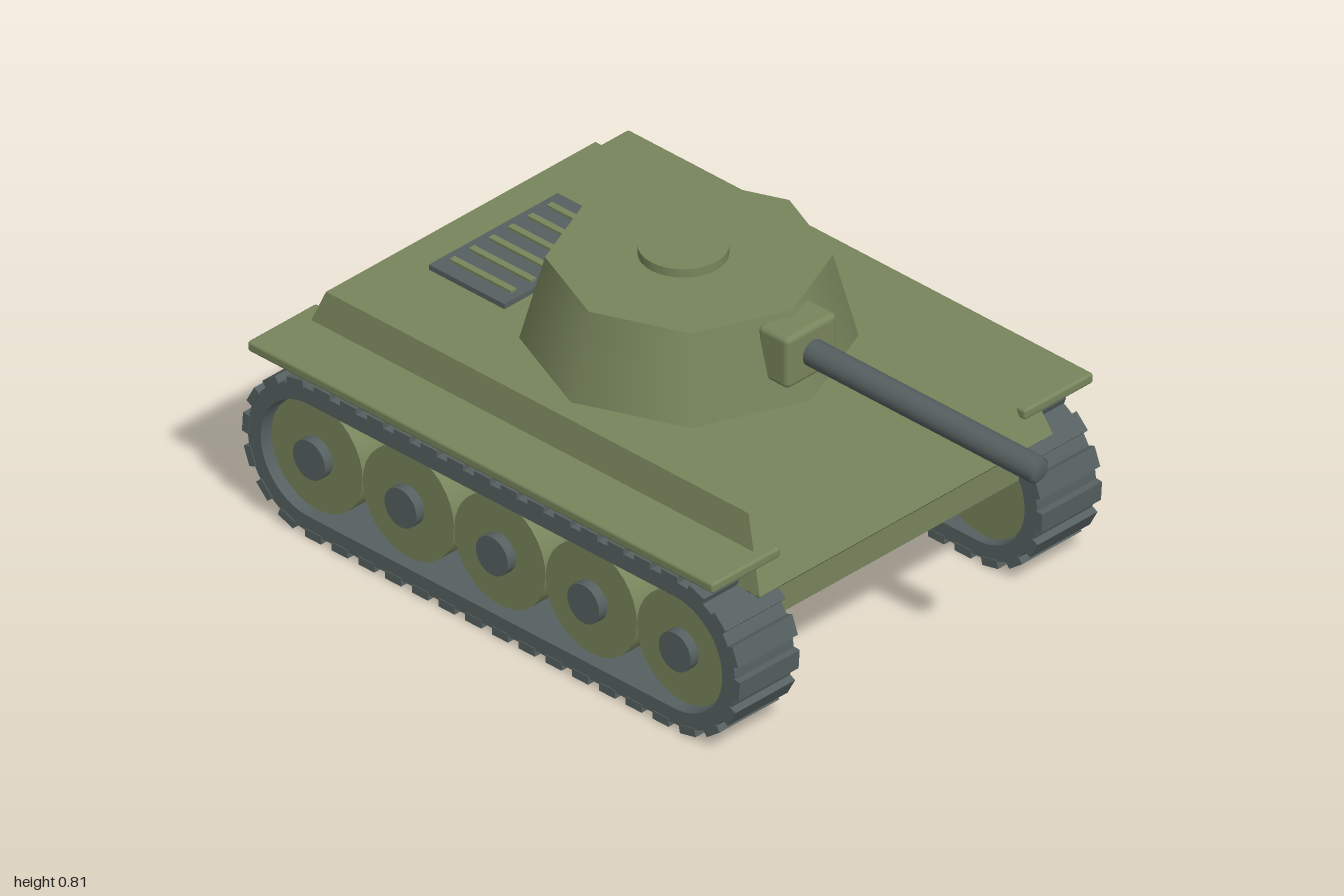
import * as THREE from 'three';
import { RoundedBoxGeometry } from 'three/addons/geometries/RoundedBoxGeometry.js';

const olive = new THREE.MeshStandardMaterial({ color: 0x78855c });
olive.name = 'olive paint';
const steel = new THREE.MeshStandardMaterial({ color: 0x566060 });
steel.name = 'grey steel';

export function createModel() {
  const model = new THREE.Group();
  model.name = 'tank';

  function add(name, geometry, material, x = 0, y = 0, z = 0, parent = model) {
    const mesh = new THREE.Mesh(geometry, material);
    mesh.name = name;
    mesh.position.set(x, y, z);
    parent.add(mesh);
    return mesh;
  }

  // Box whose bottom and top rectangles differ: [halfWidth, back, front, y]
  function taperedBox(bottom, top) {
    const geometry = new THREE.BoxGeometry(2, 2, 2).toNonIndexed();
    const p = geometry.attributes.position;
    for (let i = 0; i < p.count; i++) {
      const [w, back, front, y] = p.getY(i) > 0 ? top : bottom;
      p.setXYZ(i, p.getX(i) * w, y, p.getZ(i) > 0 ? front : back);
    }
    geometry.computeVertexNormals();
    return geometry;
  }

  // Cylinder lying along x
  const axleCylinder = (radius, length, sides = 32) =>
    new THREE.CylinderGeometry(radius, radius, length, sides).rotateZ(Math.PI / 2);

  // Hull
  add('upperHull', taperedBox([0.49, -0.945, 0.565, 0.39], [0.45, -0.88, 0.49, 0.57]), olive);
  add('hullStep', taperedBox([0.47, -0.925, 0.54, 0.365], [0.485, -0.94, 0.56, 0.39]), olive);
  add('lowerHull', taperedBox([0.47, -0.92, 0.535, 0.287], [0.47, -0.92, 0.535, 0.37]), olive);
  add('belly', taperedBox([0.455, -0.905, 0.52, 0.273], [0.47, -0.92, 0.535, 0.287]), olive);

  // Turret with hatch
  add('turret', new THREE.CylinderGeometry(0.335, 0.395, 0.223, 8), olive, 0, 0.6815, -0.14);
  add('hatch', new THREE.CylinderGeometry(0.107, 0.107, 0.024, 32), olive, 0, 0.804, -0.158);

  // Gun: mantlet and barrel with a chamfered muzzle
  add('mantlet', new RoundedBoxGeometry(0.17, 0.14, 0.1, 3, 0.015), olive, 0, 0.707, 0.212);
  const barrelProfile = [[0, 0.2], [0.034, 0.2], [0.034, 0.99], [0.024, 1], [0, 1]];
  const barrel = new THREE.LatheGeometry(barrelProfile.map(([r, h]) => new THREE.Vector2(r, h)), 24);
  add('gunBarrel', barrel.rotateX(Math.PI / 2), steel, 0, 0.706, 0);

  // Engine grille on the rear deck
  add('enginePanel', new THREE.BoxGeometry(0.43, 0.02, 0.245), steel, 0, 0.574, -0.652);
  for (let i = 0; i < 6; i++) {
    add('grilleSlat', new THREE.BoxGeometry(0.018, 0.008, 0.2), olive, (i - 2.5) * 0.065, 0.587, -0.65);
  }

  // Running gear dimensions
  const axleY = 0.215, trackZ = -0.195, half = 0.593;
  const wheelZ = i => trackZ + (i - 2) * 0.2965;

  // Axles with hanger brackets
  for (let i = 0; i < 5; i++) {
    add('axle', axleCylinder(0.025, 0.9, 20), steel, 0, axleY, wheelZ(i));
    for (const side of [-1, 1]) {
      add('axleBracket', new THREE.BoxGeometry(0.06, 0.06, 0.06), steel, side * 0.342, 0.252, wheelZ(i));
    }
  }

  // Rounded track outline in the z-y plane
  function stadium(PathType, r) {
    const path = new PathType();
    path.moveTo(-half, -r);
    path.lineTo(half, -r);
    path.absarc(half, 0, r, -Math.PI / 2, Math.PI / 2, false);
    path.lineTo(-half, r);
    path.absarc(-half, 0, r, Math.PI / 2, Math.PI * 1.5, false);
    return path;
  }
  const outline = stadium(THREE.Shape, 0.197);
  outline.holes.push(stadium(THREE.Path, 0.155));
  const beltGeometry = new THREE.ExtrudeGeometry(outline, { depth: 0.196, bevelEnabled: false, curveSegments: 20 });
  beltGeometry.translate(0, 0, -0.098).rotateY(Math.PI / 2);
  const cleatGeometry = new THREE.BoxGeometry(0.2, 0.022, 0.052);

  // Position and tilt of a cleat at a distance along the track
  function placeCleat(cleat, distance) {
    const r = 0.202, straight = 2 * half, arc = Math.PI * r;
    const lower = distance >= straight + arc;
    const s = lower ? distance - straight - arc : distance;
    const sign = lower ? -1 : 1;
    const angle = Math.max(0, (s - straight) / r);
    const along = Math.min(s, straight) - half + Math.sin(angle) * r;
    cleat.position.set(0, sign * Math.cos(angle) * r, sign * along);
    cleat.rotation.x = angle + (lower ? Math.PI : 0);
  }

  for (const side of [-1, 1]) {
    const label = side > 0 ? 'left' : 'right';

    // Track belt and cleats
    const track = new THREE.Group();
    track.name = label + 'Track';
    track.position.set(side * 0.505, axleY, trackZ);
    model.add(track);
    add('trackBelt', beltGeometry, steel, 0, 0, 0, track);
    const count = 42, length = 4 * half + 2 * Math.PI * 0.202;
    for (let i = 0; i < count; i++) {
      placeCleat(add('trackCleat', cleatGeometry, steel, 0, 0, 0, track), (i + 0.5) * length / count);
    }

    // Road wheels with hubs
    for (let i = 0; i < 5; i++) {
      add(label + 'Wheel', axleCylinder(0.148, 0.15), olive, side * 0.5, axleY, wheelZ(i));
      add(label + 'WheelHub', axleCylinder(0.052, 0.1, 24), steel, side * 0.552, axleY, wheelZ(i));
    }

    // Fender
    add(label + 'Fender', new RoundedBoxGeometry(0.23, 0.028, 1.51, 2, 0.008), olive, side * 0.522, 0.473, -0.2);
  }

  return model;
}
